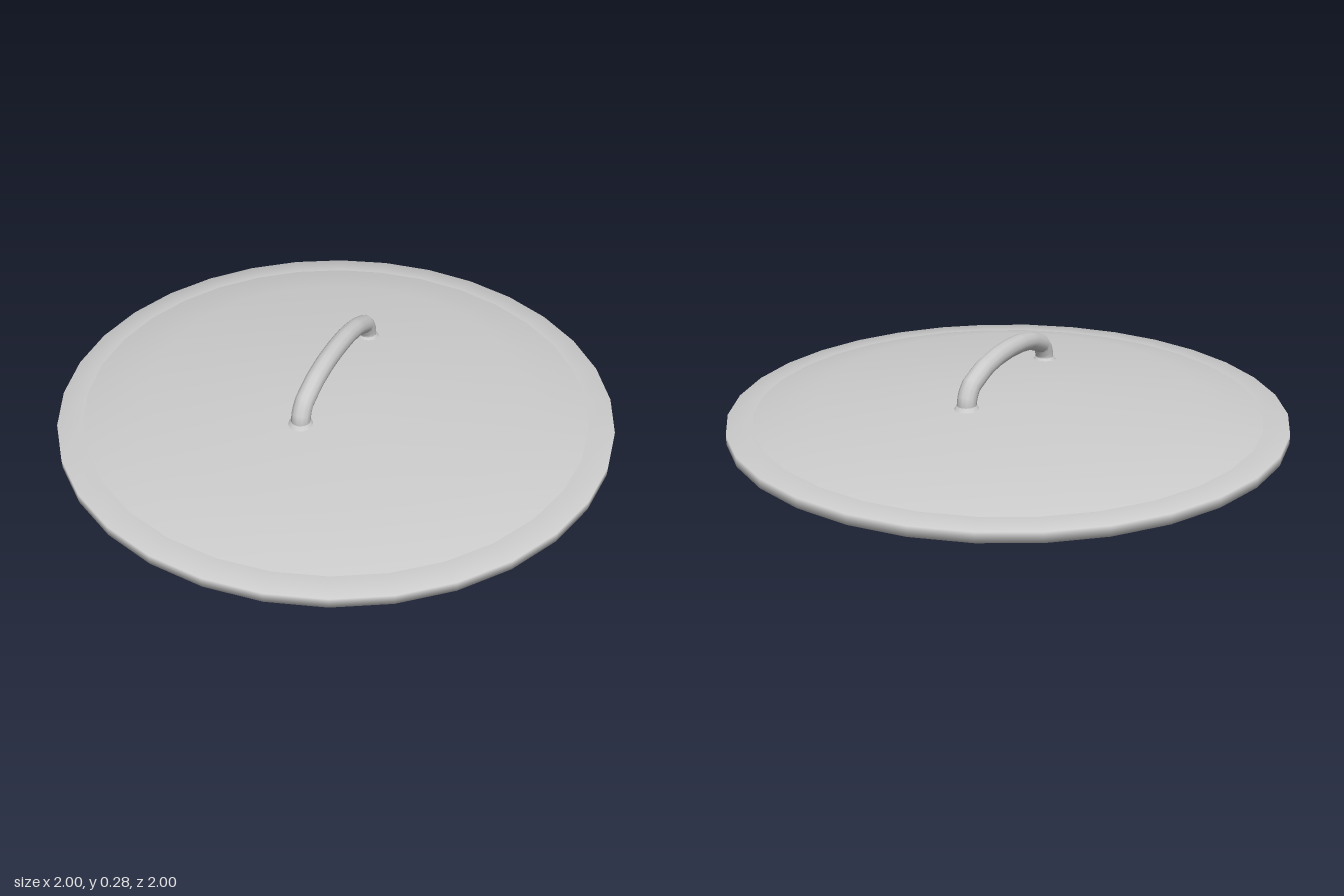
import * as THREE from 'three';

const material = new THREE.MeshStandardMaterial({ color: 0xcccccc });

function addMesh(group, name, geometry) {
  const mesh = new THREE.Mesh(geometry, material);
  mesh.name = name;
  group.add(mesh);
}

// Revolves a list of [radius, height] pairs with 32 sides
const revolve = (profile) =>
  new THREE.LatheGeometry(profile.map(([r, y]) => new THREE.Vector2(r, y)), 32);

export function createModel() {
  const group = new THREE.Group();
  group.name = 'lid';

  // Hollow underside that follows the dome
  addMesh(group, 'underside', revolve([[0, 0.11], [0.2, 0.11], [0.67, 0.075], [0.89, 0.025]]));

  // Softly shaded ring round the edge, with a flat lip on top
  addMesh(group, 'rim', revolve([
    [0.89, 0.025], [0.913, 0], [1, 0], [1, 0.035], [0.91, 0.037],
  ]));

  // Shallow domed cover
  addMesh(group, 'cover', revolve([[0.91, 0.037], [0.68, 0.095], [0.2, 0.13], [0, 0.13]]));

  // Arched handle running front to back, mirrored about its middle
  const half = [[0.297, 0.11], [0.297, 0.146], [0.272, 0.19], [0.18, 0.227], [0.09, 0.243]];
  const path = [
    ...half.map(([z, y]) => new THREE.Vector3(0, y, z)),
    new THREE.Vector3(0, 0.247, 0),
    ...half.map(([z, y]) => new THREE.Vector3(0, y, -z)).reverse(),
  ];
  const arch = new THREE.CatmullRomCurve3(path, false, 'catmullrom', 0.2);
  addMesh(group, 'handle', new THREE.TubeGeometry(arch, 32, 0.034, 12));

  // Small flared collar where each end of the handle meets the cover
  for (const side of [1, -1]) {
    const collar = new THREE.CylinderGeometry(0.034, 0.05, 0.02, 12, 1, true);
    collar.translate(0, 0.124, side * 0.297);
    addMesh(group, 'handleCollar', collar);
  }

  return group;
}
